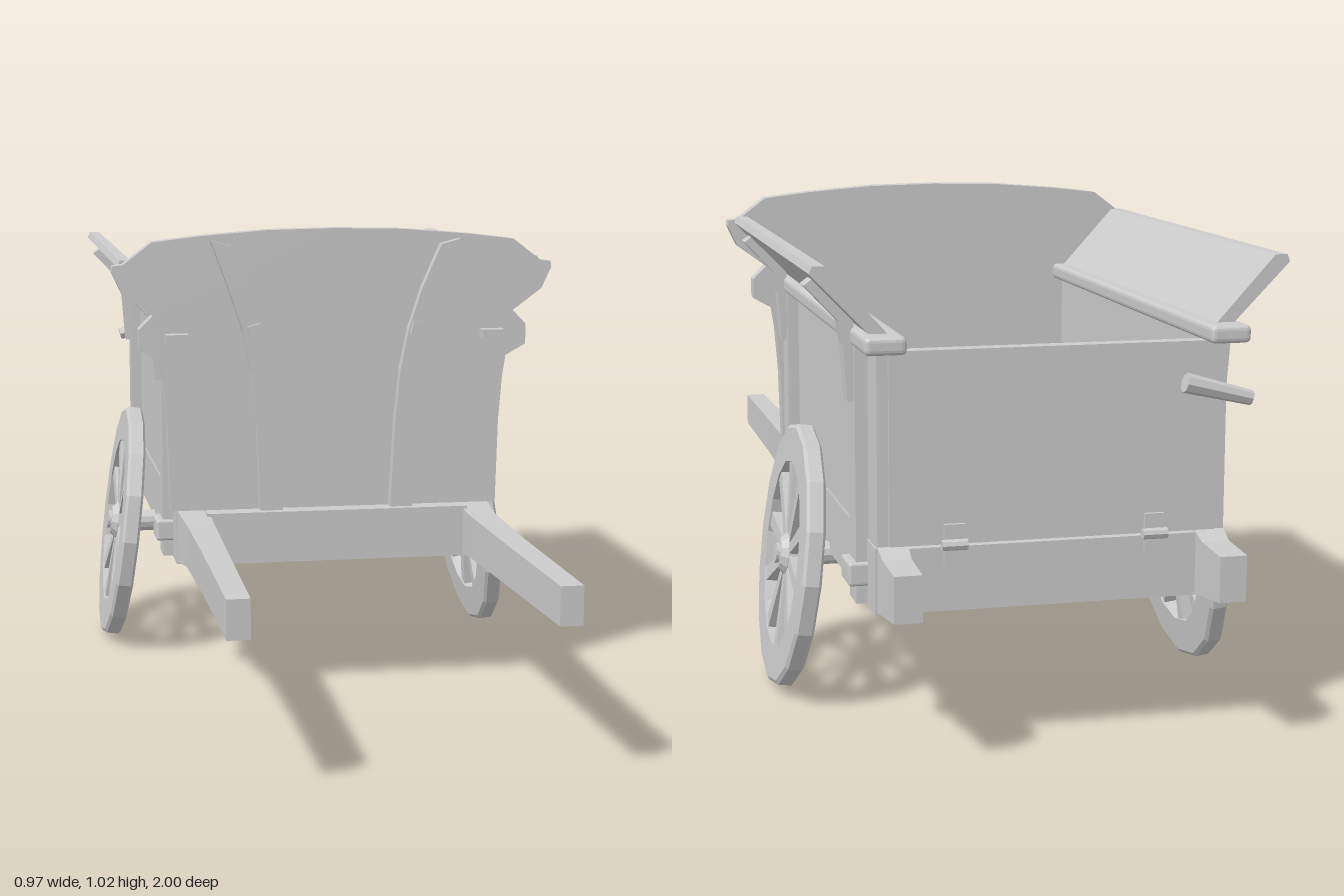
import * as THREE from 'three';
import { RoundedBoxGeometry } from 'three/addons/geometries/RoundedBoxGeometry.js';

const material = new THREE.MeshStandardMaterial({ color: 0xcccccc, flatShading: true });

export function createModel() {
  const cart = new THREE.Group();
  cart.name = 'handcart';

  const add = (name, geometry, parent = cart) => {
    const mesh = new THREE.Mesh(geometry, material);
    mesh.name = name;
    parent.add(mesh);
    return mesh;
  };
  // Box given by its limits on each axis
  const box = (name, x0, x1, y0, y1, z0, z1, round = 0) => {
    const size = [Math.abs(x1 - x0), y1 - y0, z1 - z0];
    const g = round ? new RoundedBoxGeometry(...size, 2, round) : new THREE.BoxGeometry(...size);
    return add(name, g.translate((x0 + x1) / 2, (y0 + y1) / 2, (z0 + z1) / 2));
  };
  // Outline in x and y, extruded from z0 to z1
  const slab = (name, points, z0, z1) => {
    const shape = new THREE.Shape(points.map(([x, y]) => new THREE.Vector2(x, y)));
    const g = new THREE.ExtrudeGeometry(shape, { depth: z1 - z0, bevelEnabled: false });
    return add(name, g.translate(0, 0, z0));
  };
  const flip = (points, s) => points.map(([x, y]) => [s * x, y]);

  // Tray
  box('base', -0.35, 0.35, 0.29, 0.42, -0.855, 0.2);
  box('frontCrossbar', -0.29, 0.29, 0.303, 0.415, 0.19, 0.275);
  const tailgate = box('tailgate', -0.325, 0.325, 0.425, 0.8, -0.868, -0.835);
  tailgate.name = 'tailgate';
  box('tailSill', -0.325, 0.325, 0.3, 0.42, -0.868, -0.85);

  // Front board with a shaped outline, arched on top
  const half = [[0.365, 0.415], [0.37, 0.6], [0.378, 0.7], [0.385, 0.745], [0.43, 0.77],
    [0.43, 0.815], [0.4, 0.845], [0.465, 0.893], [0.487, 0.94], [0.485, 0.953],
    [0.463, 0.955], [0.4, 1.003], [0.3, 1.015], [0.15, 1.027]];
  slab('frontBoard', [...half, [0, 1.03], ...flip(half, -1).reverse()], 0.19, 0.23);

  // Shaft: box whose cross-section follows stations of z, centre x, width, bottom and top
  const stations = [
    [-1, 0.317, 0.054, 0.312, 0.403], [-0.9, 0.317, 0.056, 0.3, 0.408],
    [-0.86, 0.317, 0.06, 0.295, 0.424], [0.13, 0.317, 0.066, 0.291, 0.42],
    [0.23, 0.315, 0.068, 0.3, 0.412], [0.33, 0.312, 0.06, 0.312, 0.405],
    [0.6, 0.313, 0.052, 0.316, 0.401], [1, 0.318, 0.046, 0.32, 0.398],
  ];
  const shaft = (s) => {
    const g = new THREE.BoxGeometry(1, 1, 1, 1, 1, stations.length - 1);
    const p = g.attributes.position;
    for (let i = 0; i < p.count; i++) {
      const [z, x, w, y0, y1] = stations[Math.round((p.getZ(i) + 0.5) * (stations.length - 1))];
      p.setXYZ(i, s * x + p.getX(i) * w, p.getY(i) < 0 ? y0 : y1, z);
    }
    g.computeVertexNormals();
    add('shaft', g);
  };

  // Wheel, leaning in at the top
  const wheel = (s) => {
    const group = new THREE.Group();
    group.name = 'wheel';
    const lathe = (name, points, n) => add(name, new THREE.LatheGeometry(
      points.map(([r, h]) => new THREE.Vector2(r, h)), n).rotateZ(-s * Math.PI / 2), group);
    lathe('rim', [[0.2, -0.02], [0.273, -0.02], [0.281, -0.014], [0.281, 0.014], [0.273, 0.02],
      [0.2, 0.02], [0.2, -0.02]], 16);
    lathe('hub', [[0, -0.025], [0.045, -0.025], [0.045, 0.012], [0.032, 0.026], [0.022, 0.026],
      [0.022, 0.034], [0, 0.034]], 12);
    for (let i = 0; i < 10; i++) {
      const g = new THREE.CylinderGeometry(0.024, 0.015, 0.18, 4, 1).rotateY(Math.PI / 4);
      add('spoke', g.translate(0, 0.12, 0).rotateX((i + 0.25) * Math.PI / 5), group);
    }
    group.position.set(s * 0.432, 0.287, -0.335);
    group.rotation.z = s * 0.128;
    cart.add(group);
  };

  for (const s of [-1, 1]) {
    shaft(s);
    wheel(s);

    // Side wall, top rail and flared side board
    box('sideWall', s * 0.32, s * 0.347, 0.41, 0.81, -0.86, 0.2);
    box('topRail', s * 0.297, s * 0.378, 0.798, 0.833, -0.91, 0.2, 0.01);
    box('railTenon', s * 0.325, s * 0.375, 0.787, 0.806, 0.19, 0.262);
    slab('flaredBoard', flip([[0.318, 0.825], [0.348, 0.82], [0.472, 0.948], [0.466, 0.962],
      [0.442, 0.962]], s), -0.86, 0.19);

    // Posts with foot clamps and braces up the flared board
    for (const z of [0.085, -0.74]) {
      box('post', s * 0.34, s * 0.372, 0.292, 0.8, z - 0.034, z + 0.034);
      box('postClamp', s * 0.34, s * 0.388, 0.328, 0.375, z - 0.042, z + 0.042, 0.006);
      slab('brace', flip([[0.365, 0.69], [0.384, 0.69], [0.392, 0.8], [0.4, 0.845], [0.466, 0.915],
        [0.45, 0.927], [0.372, 0.85]], s), z - 0.023, z + 0.023);
    }

    // Curved strap and its peg on the front board
    const inner = [[0.12, 0.415], [0.13, 0.6], [0.142, 0.72], [0.16, 0.81], [0.19, 0.9], [0.232, 0.995]];
    const outer = [[0.275, 1.006], [0.236, 0.9], [0.206, 0.81], [0.188, 0.72], [0.177, 0.6], [0.17, 0.415]];
    slab('strap', flip([...inner, ...outer], s), 0.225, 0.255);
    const peg = add('strapPeg', new THREE.BoxGeometry(0.03, 0.03, 0.04));
    peg.position.set(s * 0.18, 0.81, 0.245);
    peg.rotation.z = -s * 0.25;

    // Tailgate hinge
    box('hingePlate', s * 0.18, s * 0.22, 0.385, 0.465, -0.876, -0.86);
    const pin = add('hingePin', new THREE.CylinderGeometry(0.011, 0.011, 0.05, 8).rotateZ(Math.PI / 2));
    pin.position.set(s * 0.2, 0.425, -0.876);
  }

  // Axle
  const axle = add('axle', new THREE.CylinderGeometry(0.026, 0.026, 0.92, 12).rotateZ(Math.PI / 2));
  axle.position.set(0, 0.285, -0.335);

  // Turning latch at one corner of the tailgate
  const latch = add('latch', new THREE.CylinderGeometry(0.015, 0.02, 0.14, 8).rotateZ(Math.PI / 2));
  latch.position.set(-0.32, 0.705, -0.888);
  latch.rotation.z = 0.25;
  const latchPin = add('latchPin', new THREE.CylinderGeometry(0.01, 0.01, 0.05, 8).rotateX(Math.PI / 2));
  latchPin.position.set(-0.32, 0.705, -0.875);

  return cart;
}
